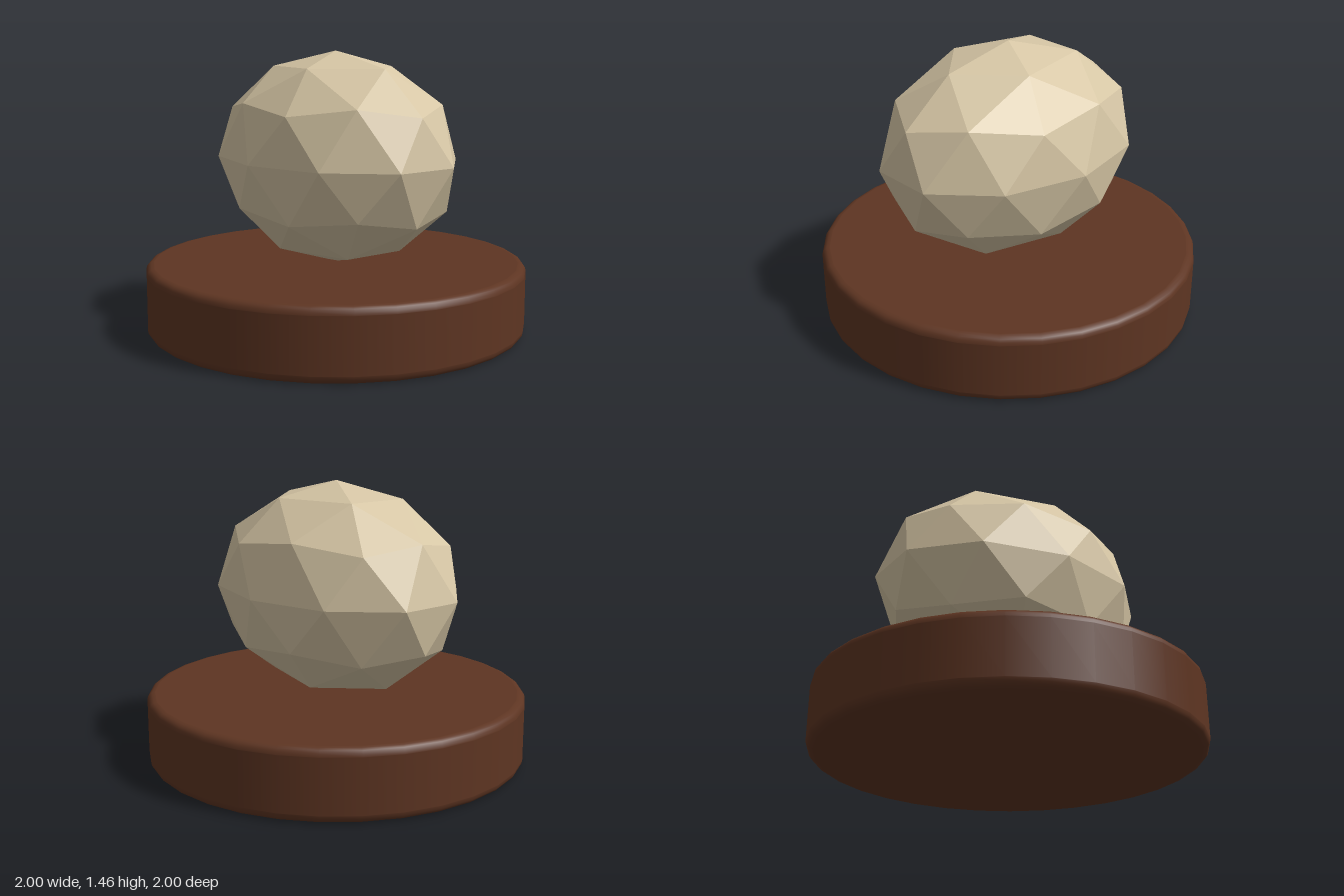
import * as THREE from 'three';

export function createModel() {
  const model = new THREE.Group();

  const stone = new THREE.MeshStandardMaterial({ color: 0xd6c6a5 });
  stone.name = 'pale stone';
  stone.flatShading = true;
  const wood = new THREE.MeshStandardMaterial({ color: 0x5e3522 });
  wood.name = 'dark wood';

  // Round plinth: 32 sides, softly rounded rims, flat top and bottom
  const height = 0.362, bevel = 0.04, steps = 4, eps = 0.002;
  const profile = [new THREE.Vector2(0, 0), new THREE.Vector2(1 - bevel - eps, 0)];
  const rim = (cy, start) => {
    for (let i = 0; i <= steps; i++) {
      const a = start + (i / steps) * Math.PI / 2;
      profile.push(new THREE.Vector2(1 - bevel + bevel * Math.cos(a), cy + bevel * Math.sin(a)));
    }
  };
  rim(bevel, -Math.PI / 2);
  profile.push(new THREE.Vector2(1, bevel + eps), new THREE.Vector2(1, height - bevel - eps));
  rim(height - bevel, 0);
  profile.push(new THREE.Vector2(1 - bevel - eps, height), new THREE.Vector2(0, height));
  const plinth = new THREE.Mesh(new THREE.LatheGeometry(profile, 32), wood);
  plinth.name = 'plinth';
  model.add(plinth);

  // Faceted stone: subdivided icosahedron, one corner turned to the top, widened along x
  const golden = (1 + Math.sqrt(5)) / 2;
  const facets = new THREE.IcosahedronGeometry(1, 1);
  facets.rotateZ(-Math.atan(1 / golden));
  facets.scale(0.741, 0.556, 0.556);
  facets.translate(0, 0.905, 0);
  facets.computeVertexNormals();
  const rock = new THREE.Mesh(facets, stone);
  rock.name = 'facetedStone';
  model.add(rock);

  return model;
}
